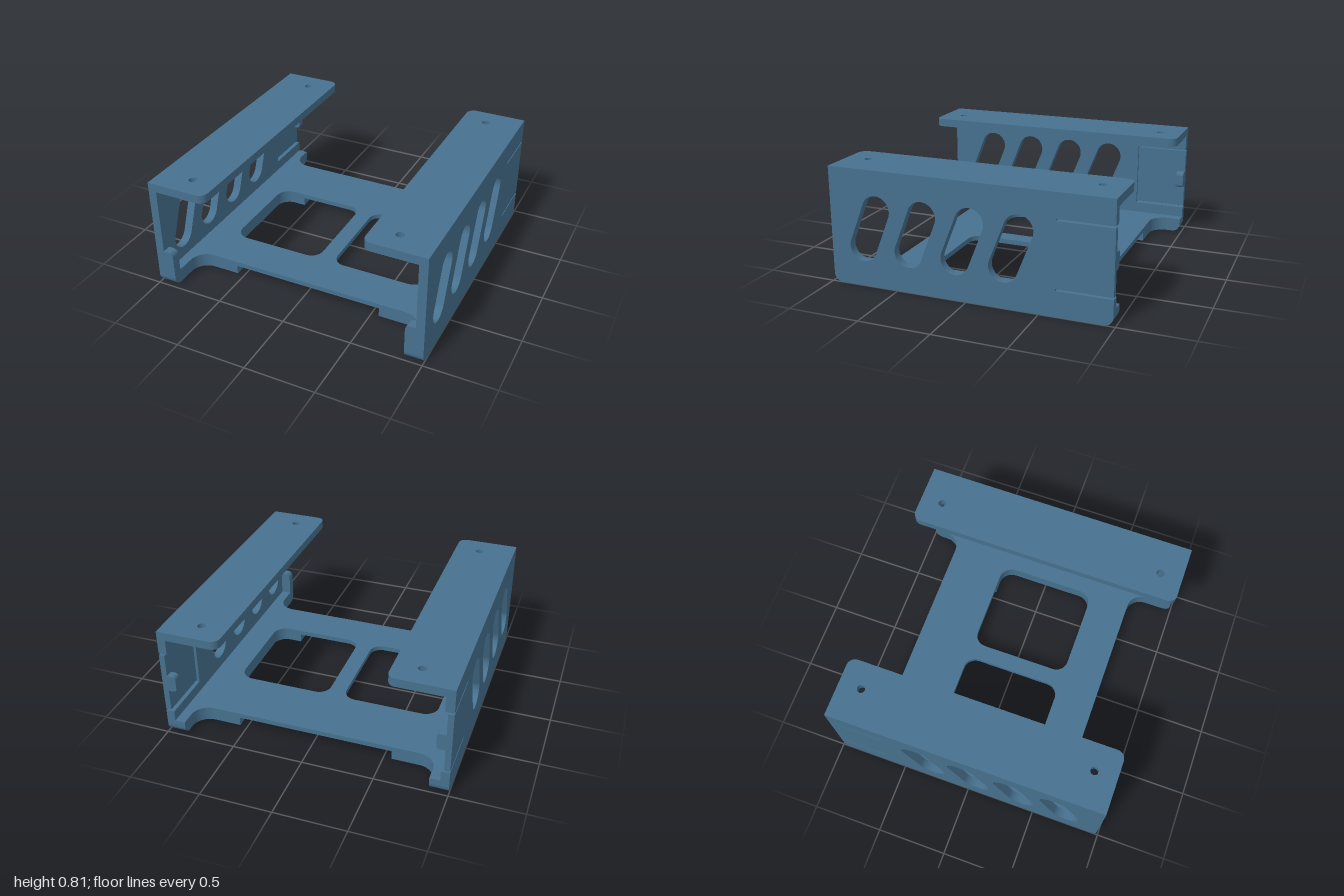
import * as THREE from 'three';

// Closed outline from [x, y, radius?] corners; right-angled corners may be rounded
function outline(points, Type = THREE.Shape) {
  const s = new Type();
  const n = points.length;
  const toward = (p, q, d) => {
    const l = Math.hypot(q[0] - p[0], q[1] - p[1]);
    return [p[0] + (q[0] - p[0]) * d / l, p[1] + (q[1] - p[1]) * d / l];
  };
  points.forEach((p, i) => {
    const prev = points[(i + n - 1) % n], next = points[(i + 1) % n], r = p[2] || 0;
    const a = r ? toward(p, prev, r) : p;
    if (i === 0) s.moveTo(a[0], a[1]); else s.lineTo(a[0], a[1]);
    if (r) {
      const b = toward(p, next, r), c = toward(p, prev, r * 0.448), d = toward(p, next, r * 0.448);
      s.bezierCurveTo(c[0], c[1], d[0], d[1], b[0], b[1]);
    }
  });
  s.closePath();
  return s;
}

const extrude = (shape, depth) =>
  new THREE.ExtrudeGeometry(shape, { depth, bevelEnabled: false, curveSegments: 14 });

// Outline in (x, z), filling y0..y1
const slab = (shape, y0, y1) => extrude(shape, y1 - y0).rotateX(Math.PI / 2).translate(0, y1, 0);
// Outline in (-z, y), filling x0..x1
const side = (shape, x0, x1) => extrude(shape, x1 - x0).rotateY(Math.PI / 2).translate(x0, 0, 0);
// Outline in (x, y), filling z0..z1
const facing = (shape, z0, z1) => extrude(shape, z1 - z0).translate(0, 0, z0);

// Mirror across x = 0, keeping faces outward
function mirrored(geometry) {
  let g = geometry.clone();
  if (g.index) g = g.toNonIndexed();
  g.scale(-1, 1, 1);
  for (const attr of Object.values(g.attributes)) {
    const k = attr.itemSize;
    for (let i = 0; i < attr.count; i += 3) {
      for (let j = 0; j < k; j++) {
        const a = i * k + j, b = (i + 2) * k + j, t = attr.array[a];
        attr.array[a] = attr.array[b];
        attr.array[b] = t;
      }
    }
  }
  return g;
}

export function createModel() {
  const blue = new THREE.MeshStandardMaterial({ color: 0x47718f });
  blue.name = 'steel blue';
  const model = new THREE.Group();
  model.name = 'mountingBracket';
  const L = 0.985; // half length

  const add = (name, geometry) => {
    const m = new THREE.Mesh(geometry, blue);
    m.name = name;
    model.add(m);
  };
  const addPair = (name, geometry) => {
    add(name + 'Left', geometry);
    add(name + 'Right', mirrored(geometry));
  };

  // Side wall with slanted slots and an open notch for the spring tongue
  const wall = outline([
    [-L, 0, 0.06], [L, 0, 0.06], [L, 0.177], [0.61, 0.177],
    [0.61, 0.645], [L, 0.645], [L, 0.815], [-L, 0.815],
  ]);
  const tilt = Math.atan2(0.265, 0.105);
  for (let i = 0; i < 4; i++) {
    const u = -0.64 + i * 0.335;
    const slot = new THREE.Path();
    slot.absarc(u, 0.543, 0.1, tilt - Math.PI / 2, tilt + Math.PI / 2);
    slot.absarc(u - 0.105, 0.278, 0.1, tilt + Math.PI / 2, tilt + Math.PI * 1.5);
    slot.closePath();
    wall.holes.push(slot);
  }
  addPair('sideWall', side(wall, 0.94, 1));

  // Thin spring tongue with a catch at its rear end
  addPair('springTongue', side(outline([
    [0.61, 0.19], [L, 0.19], [L, 0.632], [0.61, 0.632],
  ]), 0.96, 1));
  addPair('tongueCatch', facing(outline([
    [0.9, 0.35, 0.025], [0.965, 0.35], [0.965, 0.47], [0.9, 0.47, 0.025],
  ]), -L, -0.93));

  // Top flange with two screw holes
  const flange = outline([
    [0.565, -L, 0.06], [0.94, -L], [0.94, L], [0.565, L, 0.06],
  ]);
  for (const z of [-0.825, 0.825]) {
    const hole = new THREE.Path();
    hole.absarc(0.75, z, 0.028, 0, Math.PI * 2);
    flange.holes.push(hole);
  }
  addPair('topFlange', slab(flange, 0.755, 0.815));

  // Lower rail beside the wall and the stop at its front end
  addPair('lowerRail', side(outline([
    [-L, 0, 0.06], [L, 0, 0.06], [L, 0.1], [-L, 0.1],
  ]), 0.868, 0.94));
  addPair('frontStop', facing(outline([
    [0.868, 0.1], [0.94, 0.1], [0.94, 0.275], [0.868, 0.275, 0.04],
  ]), L - 0.065, L));

  // Thick ends of the cross bars, flared into the rail
  addPair('barEnd', slab(outline([
    [0.868, 0.8], [0.868, 0.67, 0.12], [0.555, 0.67], [0.555, 0.378],
    [0.745, 0.378, 0.1], [0.745, -0.352, 0.1], [0.555, -0.352], [0.555, -0.77],
    [0.868, -0.77, 0.12], [0.868, -0.9],
  ]), 0, 0.1));

  // Thin centre plate: two cross bars joined by a web
  const w = 0.06, e = 0.555, r = 0.09;
  add('centrePlate', slab(outline([
    [-e, -0.77], [e, -0.77], [e, -0.352], [w, -0.352, r], [w, 0.378, r], [e, 0.378],
    [e, 0.67], [-e, 0.67], [-e, 0.378], [-w, 0.378, r], [-w, -0.352, r], [-e, -0.352],
  ]), 0.065, 0.1));

  return model;
}
